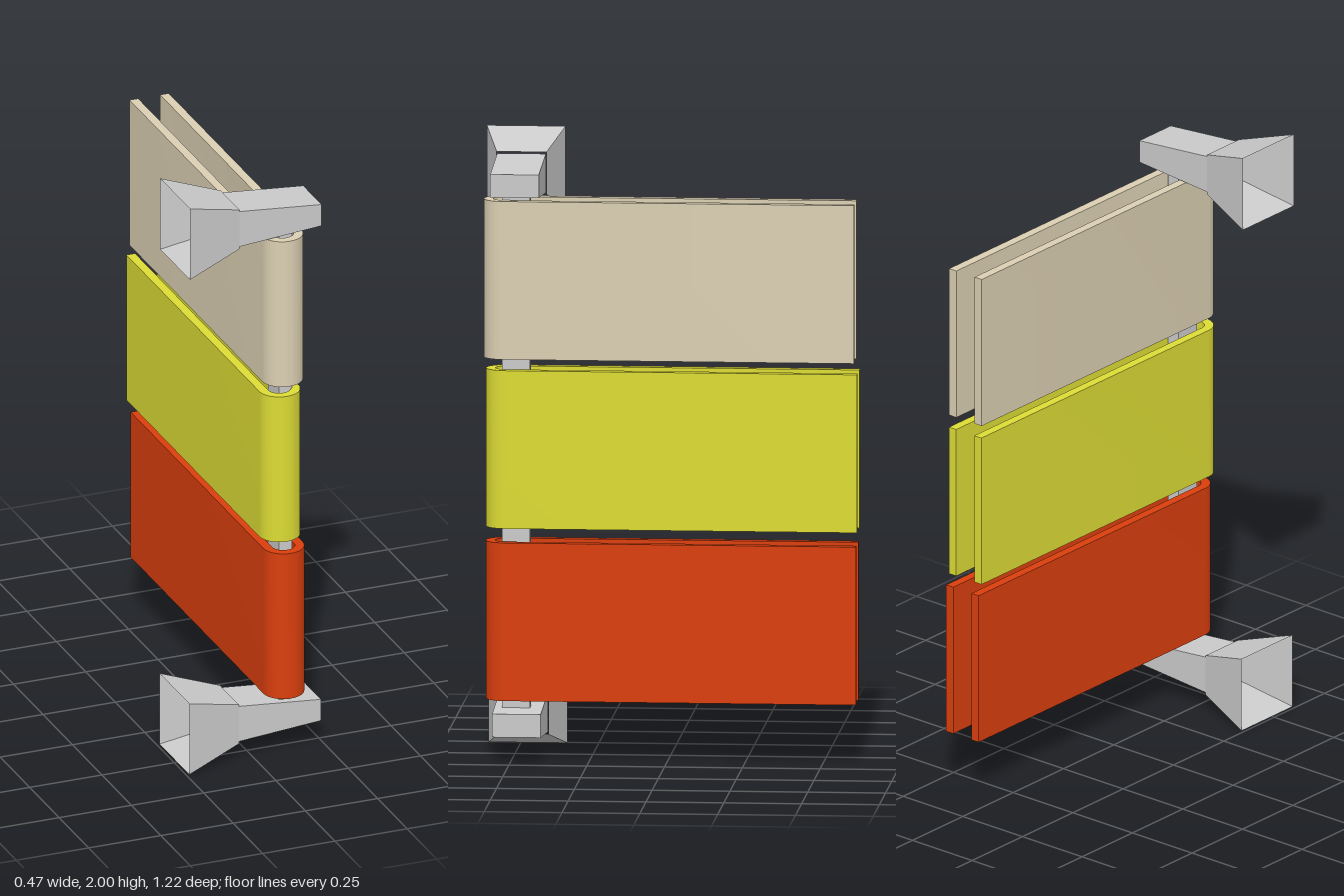
import * as THREE from 'three';
import { toCreasedNormals } from 'three/addons/utils/BufferGeometryUtils.js';

const grey = new THREE.MeshStandardMaterial({ color: 0xcccccc });
const greyOpen = new THREE.MeshStandardMaterial({ color: 0xcccccc, side: THREE.DoubleSide });

// Box along x whose two ends have their own height and depth; optionally open at both ends
function taperedBox(x0, x1, h0, d0, h1, d1, open = false) {
  const g = new THREE.BoxGeometry(1, 1, 1);
  const p = g.attributes.position;
  for (let i = 0; i < p.count; i++) {
    const end = p.getX(i) > 0;
    p.setXYZ(i, end ? x1 : x0, p.getY(i) * (end ? h1 : h0), p.getZ(i) * (end ? d1 : d0));
  }
  // The first 12 indices are the two x faces
  if (open) {
    g.setIndex(Array.from(g.index.array).slice(12));
    g.clearGroups();
  }
  g.computeVertexNormals();
  return g;
}

// Bracket: hollow flared wall end and a solid tapering arm
function makeBracket(y, z) {
  const bracket = new THREE.Group();
  const flare = new THREE.Mesh(taperedBox(-0.24, -0.05, 0.25, 0.253, 0.138, 0.16, true), greyOpen);
  flare.name = 'bracketFlare';
  const arm = new THREE.Mesh(taperedBox(-0.055, 0.235, 0.125, 0.156, 0.075, 0.156), grey);
  arm.name = 'bracketArm';
  bracket.add(flare, arm);
  bracket.position.set(0, y, z);
  return bracket;
}

// Folded panel: U-shaped sheet wrapped round the pole, open at the back
function makePanel(color, x, y, zBack, zFront, height) {
  const R = 0.068, t = 0.03, r = R - t;
  const c = -(zFront - R), b = -zBack;
  const s = new THREE.Shape();
  s.moveTo(-R, b);
  s.lineTo(-R, c);
  s.absarc(0, c, R, Math.PI, Math.PI * 2, false);
  s.lineTo(R, b);
  s.lineTo(r, b);
  s.lineTo(r, c);
  s.absarc(0, c, r, Math.PI * 2, Math.PI, true);
  s.lineTo(-r, b);
  s.closePath();
  const g = new THREE.ExtrudeGeometry(s, { depth: height, bevelEnabled: false, curveSegments: 20 });
  g.rotateX(-Math.PI / 2);
  const mesh = new THREE.Mesh(toCreasedNormals(g, 0.6), new THREE.MeshStandardMaterial({ color }));
  mesh.position.set(x, y, 0);
  return mesh;
}

export function createModel() {
  const model = new THREE.Group();
  model.name = 'foldedPanelSign';

  // Upper and lower brackets
  const lower = makeBracket(0.127, 0.477);
  lower.name = 'lowerBracket';
  const upper = makeBracket(1.875, 0.483);
  upper.name = 'upperBracket';
  model.add(lower, upper);

  // Flat pole between the brackets
  const pole = new THREE.Mesh(new THREE.BoxGeometry(0.045, 1.72, 0.09), grey);
  pole.name = 'pole';
  pole.position.set(0.122, 1.0, 0.485);
  model.add(pole);

  // Three panels, slightly out of line with one another
  const panels = [
    ['lowerPanel', 0xdb3f0e, 0.12, 0.2, -0.61, 0.584],
    ['middlePanel', 0xdddc35, 0.106, 0.756, -0.612, 0.584],
    ['upperPanel', 0xdcd0b3, 0.113, 1.305, -0.603, 0.591],
  ];
  for (const [name, color, x, y, zBack, zFront] of panels) {
    const panel = makePanel(color, x, y, zBack, zFront, 0.512);
    panel.name = name;
    model.add(panel);
  }
  return model;
}
